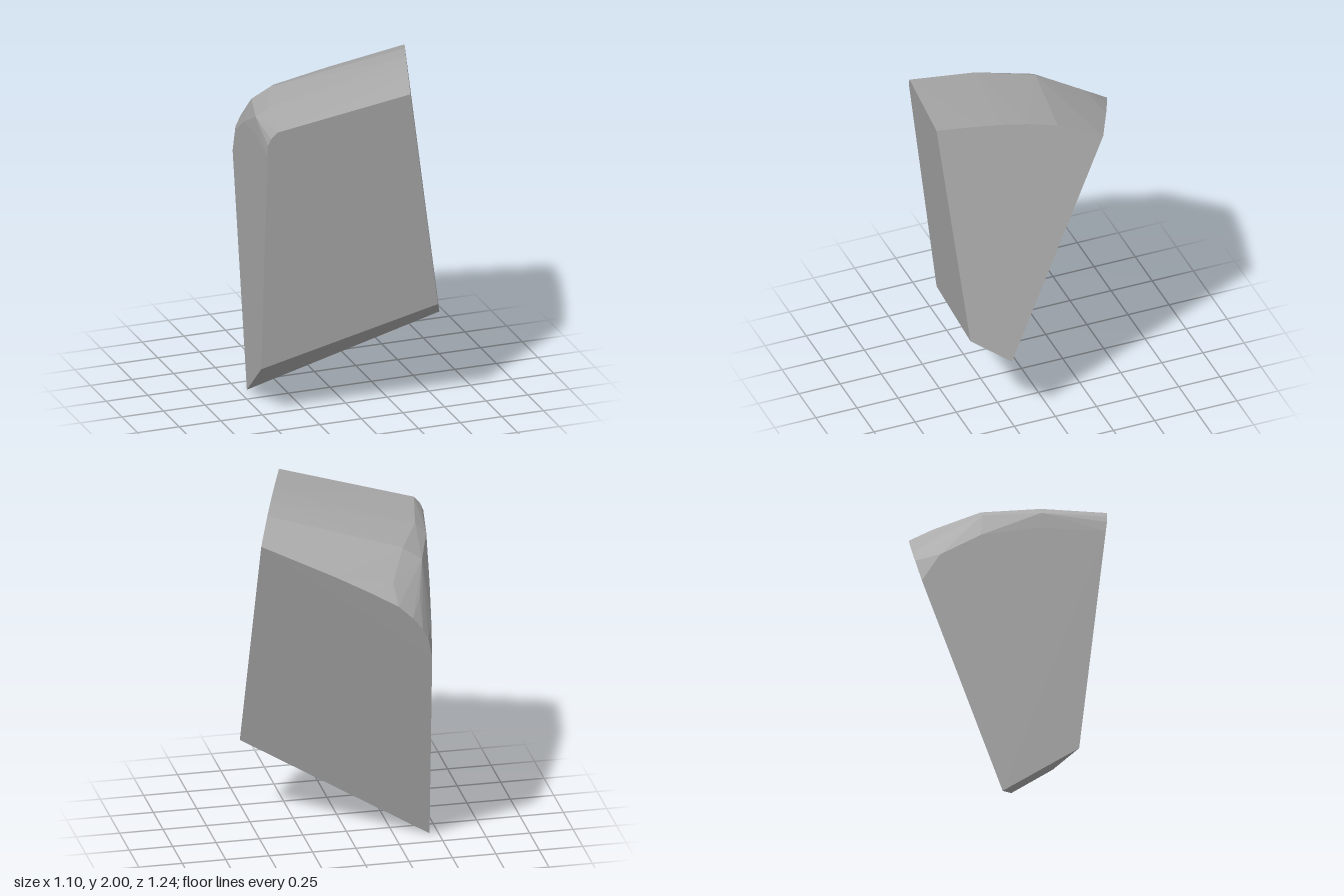
import * as THREE from 'three';
import { ConvexGeometry } from 'three/addons/geometries/ConvexGeometry.js';

const v = (x, y, z) => new THREE.Vector3(x, y, z);

// Slides each point along one axis until it lies on the plane through a, b, c
function onPlane(axis, [a, b, c], points) {
  const plane = new THREE.Plane().setFromCoplanarPoints(a, b, c);
  return points.map(([x, y, z]) => {
    const p = v(x, y, z);
    p[axis] -= plane.distanceToPoint(p) / plane.normal[axis];
    return p;
  });
}

export function createModel() {
  const group = new THREE.Group();
  group.name = 'rockShard';
  const stone = new THREE.MeshStandardMaterial({ color: 0xaaaaaa });
  stone.name = 'grey stone';

  // Sharp corners of the cut faces
  const tip = v(-0.45, 0, -0.13);
  const frontFoot = v(-0.526, 0.3, 0.3);
  const frontHeel = v(0.46, 0.63, 0.5);
  const backHeel = v(0.55, 0.49, 0.285);
  const frontTop = v(0.25, 1.98, 0.62);
  const backTop = v(0.55, 1.9, -0.27);
  const leftTop = v(-0.55, 1.66, 0.451);
  const backEdge = v(-0.365, 1.27, -0.582);

  // Curved rims where the flat cuts meet the worn crown
  const frontRim = onPlane('z', [frontFoot, frontHeel, frontTop],
    [[-0.545, 1.72, 0], [-0.53, 1.76, 0], [-0.495, 1.8, 0]]);
  const sideRim = onPlane('x', [frontTop, frontHeel, backTop],
    [[0, 1.995, 0.39], [0, 2, 0.27], [0, 1.997, 0.13], [0, 1.98, -0.03]]);
  const backRim = onPlane('x', [tip, backHeel, backTop],
    [[0, 1.75, -0.45], [0, 1.67, -0.53], [0, 1.6, -0.59], [0, 1.53, -0.61],
      [0, 1.46, -0.616], [0, 1.4, -0.612]]);
  const flankRim = onPlane('x', [tip, leftTop, backEdge],
    [[0, 1.44, -0.48], [0, 1.58, -0.25], [0, 1.65, 0.08]]);

  // Worn, rounded shoulder inside the rims
  const shoulder = [
    v(-0.28, 1.79, -0.2), v(-0.385, 1.72, -0.23), v(-0.42, 1.8, 0.11),
    v(-0.48, 1.745, 0.09), v(-0.17, 1.69, -0.45), v(-0.32, 1.59, -0.46),
  ];

  const shard = new THREE.Mesh(new ConvexGeometry([
    tip, frontFoot, frontHeel, backHeel, frontTop, backTop, leftTop, backEdge,
    ...frontRim, ...sideRim, ...backRim, ...flankRim, ...shoulder,
  ]), stone);
  shard.name = 'shard';
  group.add(shard);
  return group;
}
